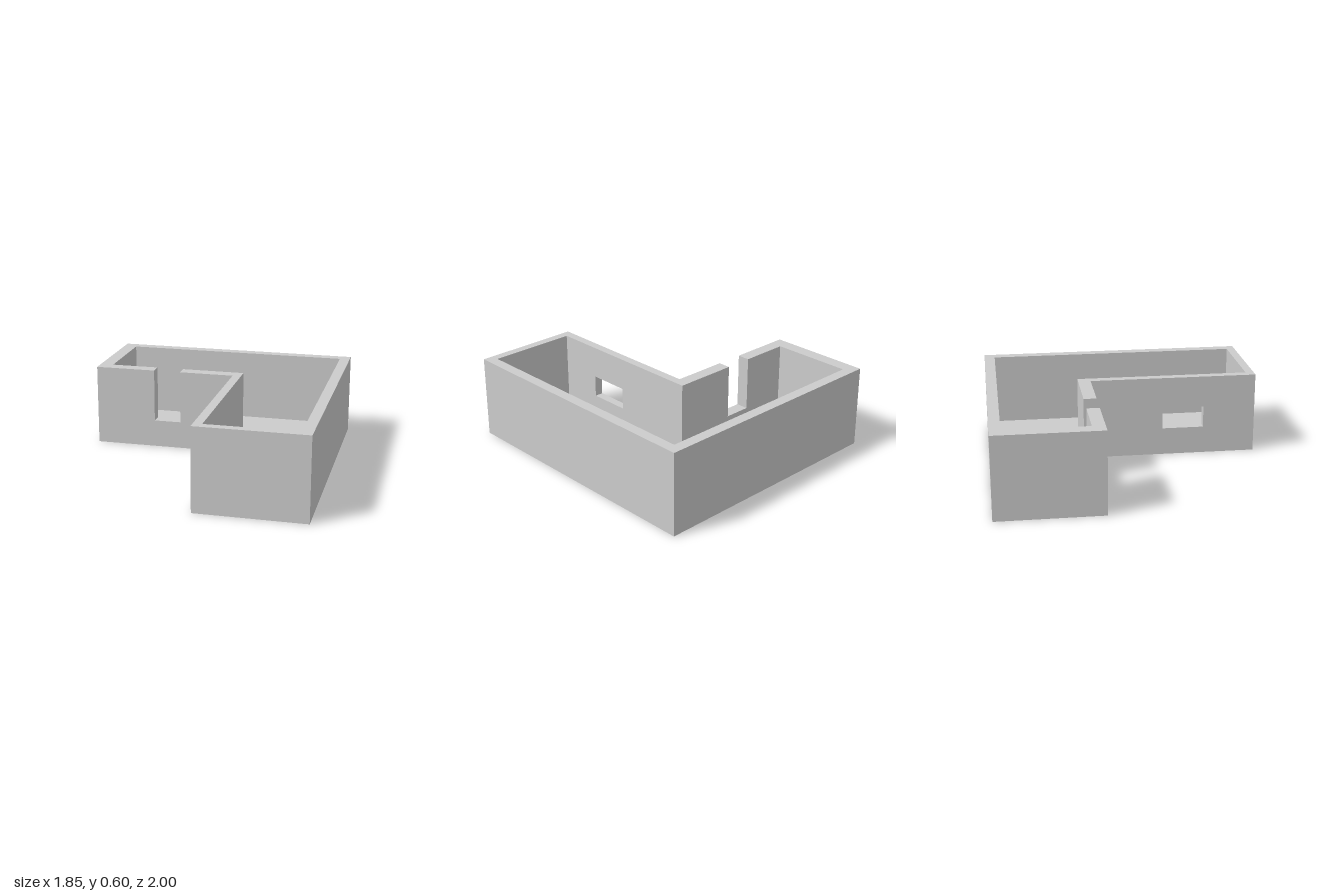
import * as THREE from 'three';

const HEIGHT = 0.6, FLOOR = 0.07;
// Outer and inner limits of the L-shaped plan
const OUT = { left: -0.923, right: 0.923, back: -1, front: 1, wingFront: -0.238, legLeft: 0.137 };
const IN = { left: -0.825, right: 0.847, back: -0.922, front: 0.938, wingFront: -0.33, legLeft: 0.2 };

const material = new THREE.MeshStandardMaterial({ color: 0xcccccc, flatShading: true });

const polygon = (points) => new THREE.Shape(points.map(([x, y]) => new THREE.Vector2(x, y)));
const extrude = (shape, depth) => new THREE.ExtrudeGeometry(shape, { depth, bevelEnabled: false });

export function createModel() {
  const group = new THREE.Group();

  const add = (name, geometry) => {
    const mesh = new THREE.Mesh(geometry, material);
    mesh.name = name;
    group.add(mesh);
  };

  // Plain wall standing on the floor between two plan corners
  const addWall = (name, x0, x1, z0, z1) => {
    const geometry = new THREE.BoxGeometry(x1 - x0, HEIGHT - FLOOR, z1 - z0);
    geometry.translate((x0 + x1) / 2, (HEIGHT + FLOOR) / 2, (z0 + z1) / 2);
    add(name, geometry);
  };

  // L-shaped floor slab
  const plan = polygon([
    [OUT.left, -OUT.back], [OUT.left, -OUT.wingFront], [OUT.legLeft, -OUT.wingFront],
    [OUT.legLeft, -OUT.front], [OUT.right, -OUT.front], [OUT.right, -OUT.back],
  ]);
  add('floor', extrude(plan, FLOOR).rotateX(-Math.PI / 2));

  // Plain outer walls
  addWall('backWall', OUT.left, OUT.right, OUT.back, IN.back);
  addWall('wingEndWall', OUT.left, IN.left, IN.back, OUT.wingFront);
  addWall('longSideWall', IN.right, OUT.right, IN.back, OUT.front);
  addWall('legEndWall', OUT.legLeft, IN.right, IN.front, OUT.front);

  // Wing front wall with a notch open at the top
  const notch = { x0: -0.47, x1: -0.268, sill: 0.205 };
  const wingShape = polygon([
    [IN.left, FLOOR], [OUT.legLeft, FLOOR], [OUT.legLeft, HEIGHT], [notch.x1, HEIGHT],
    [notch.x1, notch.sill], [notch.x0, notch.sill], [notch.x0, HEIGHT], [IN.left, HEIGHT],
  ]);
  add('notchedWall', extrude(wingShape, OUT.wingFront - IN.wingFront).translate(0, 0, IN.wingFront));

  // Leg inner wall with a rectangular window, drawn along z and turned into place
  const legShape = polygon([
    [IN.wingFront, FLOOR], [IN.front, FLOOR], [IN.front, HEIGHT], [IN.wingFront, HEIGHT],
  ]);
  legShape.holes.push(polygon([[0.3, 0.205], [0.3, 0.365], [0.61, 0.365], [0.61, 0.205]]));
  add('windowWall', extrude(legShape, IN.legLeft - OUT.legLeft)
    .rotateY(-Math.PI / 2).translate(IN.legLeft, 0, 0));

  return group;
}
